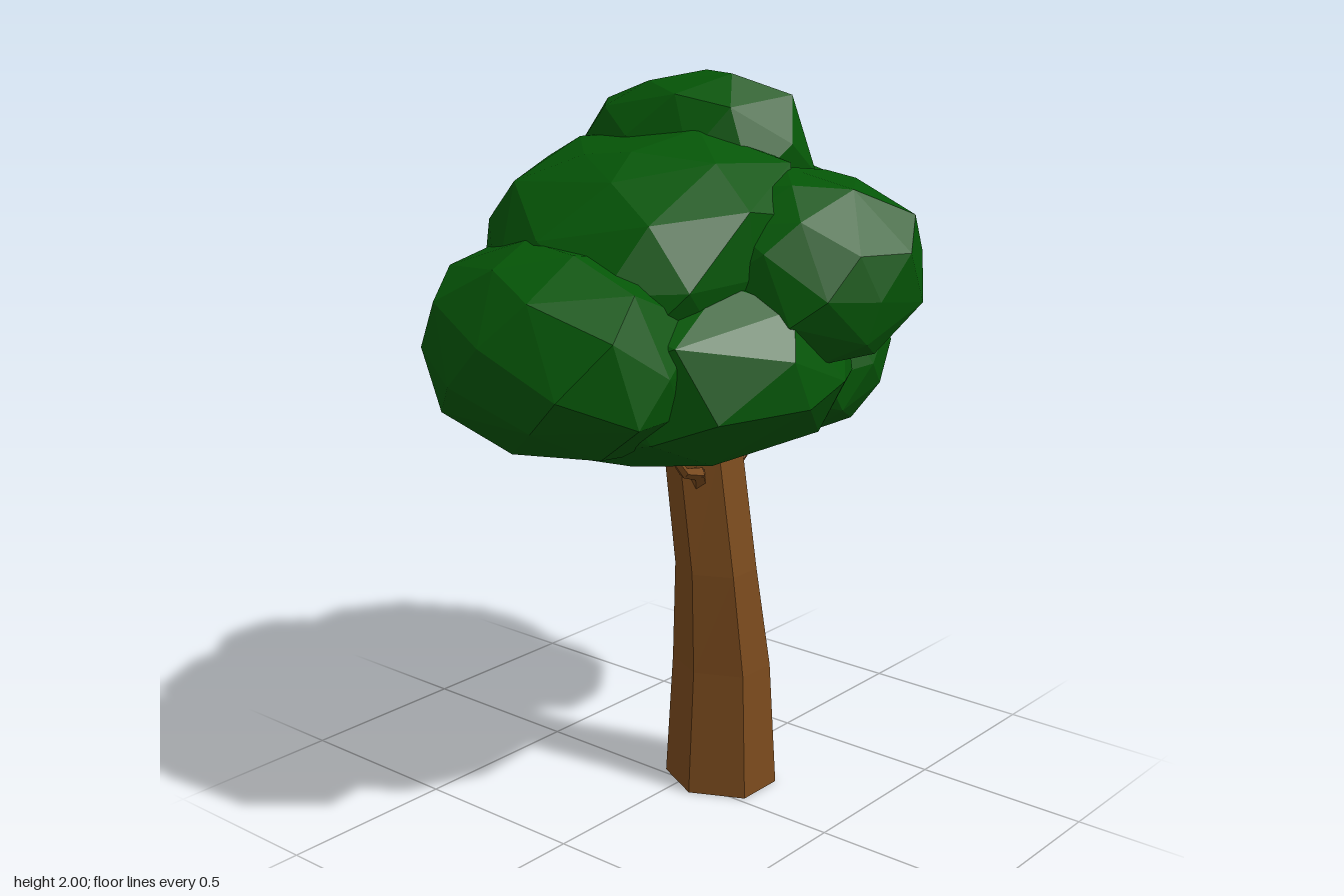
import * as THREE from 'three';
import { ConvexGeometry } from 'three/addons/geometries/ConvexGeometry.js';

const leafGreen = new THREE.MeshStandardMaterial({ color: 0x055607, flatShading: true });
leafGreen.name = 'leafGreen';
const barkBrown = new THREE.MeshStandardMaterial({ color: 0x7a4a1d, flatShading: true });
barkBrown.name = 'barkBrown';

// Small seeded random generator
function seeded(seed) {
  let s = seed * 7919 + 17;
  return () => (s = (s * 16807) % 2147483647) / 2147483647;
}

// Faceted, slightly boxy leaf clump filling the box from min to max.
// lean = [rise of y along x, rise of y along z, shift of z along x]
function leafClump(name, min, max, lean, seed) {
  const random = seeded(seed), count = 44, points = [];
  for (let i = 0; i < count; i++) {
    const y = 1 - (2 * i + 1) / count;
    const r = Math.sqrt(1 - y * y), a = i * 2.39996 + seed;
    const jitter = () => (random() - 0.5) * 0.25;
    const p = new THREE.Vector3(r * Math.cos(a) + jitter(), y + jitter(), r * Math.sin(a) + jitter());
    const e = 2.45;
    const norm = (Math.abs(p.x) ** e + Math.abs(p.y) ** e + Math.abs(p.z) ** e) ** (1 / e);
    p.multiplyScalar((0.96 + random() * 0.06) / norm);
    p.y += lean[0] * p.x + lean[1] * p.z;
    p.z += lean[2] * p.x;
    points.push(p);
  }
  // Fit the clump exactly into its box
  const bounds = new THREE.Box3().setFromPoints(points);
  const size = bounds.getSize(new THREE.Vector3());
  const low = new THREE.Vector3(...min);
  const span = new THREE.Vector3(...max).sub(low);
  points.forEach((p) => p.sub(bounds.min).divide(size).multiply(span).add(low));
  const mesh = new THREE.Mesh(new ConvexGeometry(points), leafGreen);
  mesh.name = name;
  return mesh;
}

// Six-sided trunk through rings of [x, y, z, radiusX, radiusZ]
function makeTrunk(rings) {
  const geometry = new THREE.CylinderGeometry(1, 1, 1, 6, rings.length - 1);
  const pos = geometry.attributes.position;
  for (let i = 0; i < pos.count; i++) {
    const level = Math.round((pos.getY(i) + 0.5) * (rings.length - 1));
    const [x, y, z, rx, rz] = rings[level];
    // Turn the hexagon so that corners point along x
    const px = pos.getZ(i), pz = -pos.getX(i);
    pos.setXYZ(i, x + px * rx, y, z + (pz / 0.866) * rz);
  }
  geometry.computeVertexNormals();
  const mesh = new THREE.Mesh(geometry, barkBrown);
  mesh.name = 'trunk';
  return mesh;
}

// Tapering branch through points of [x, y, z, radius]
function makeBranch(name, points) {
  const group = new THREE.Group();
  group.name = name;
  for (let i = 0; i < points.length - 1; i++) {
    const a = new THREE.Vector3(...points[i].slice(0, 3));
    const b = new THREE.Vector3(...points[i + 1].slice(0, 3));
    const dir = b.clone().sub(a);
    const geometry = new THREE.CylinderGeometry(points[i + 1][3], points[i][3], dir.length() + 0.006, 5);
    const mesh = new THREE.Mesh(geometry, barkBrown);
    mesh.name = name + 'Segment';
    mesh.position.copy(a).add(b).multiplyScalar(0.5);
    mesh.quaternion.setFromUnitVectors(new THREE.Vector3(0, 1, 0), dir.normalize());
    group.add(mesh);
  }
  return group;
}

export function createModel() {
  const tree = new THREE.Group();
  tree.name = 'tree';

  tree.add(makeTrunk([
    [0.09, 0, 0.065, 0.143, 0.145],
    [0.09, 0.36, 0.065, 0.122, 0.127],
    [0.07, 0.65, 0.06, 0.103, 0.104],
    [0.07, 1.0, 0.01, 0.1, 0.1],
    [0.075, 1.16, -0.01, 0.095, 0.095],
  ]));

  // Thin branches under the crown
  tree.add(makeBranch('leftBranch', [
    [0.155, 0.86, 0.02, 0.026], [0.19, 0.915, 0.03, 0.022], [0.25, 0.935, 0.02, 0.014], [0.32, 1.0, 0.0, 0.011],
  ]));
  tree.add(makeBranch('leftTwig', [[0.18, 0.9, 0.025, 0.016], [0.19, 0.94, 0.0, 0.012], [0.19, 0.99, -0.02, 0.008]]));
  tree.add(makeBranch('rightBranch', [
    [0.01, 0.9, 0.05, 0.026], [-0.02, 0.94, 0.07, 0.02], [-0.09, 0.96, 0.08, 0.014], [-0.15, 1.02, 0.09, 0.01],
  ]));

  // Crown clumps: name, low corner, high corner, lean
  const clumps = [
    ['topClump', [-0.1, 1.44, -0.45], [0.4, 2.0, 0.25], [-0.1, 0.22, 0]],
    ['upperRightClump', [-0.53, 1.32, -0.43], [0.2, 1.87, 0.4], [0.45, 0, 0]],
    ['frontClump', [-0.23, 1.31, 0.08], [0.29, 1.78, 0.66], [0.2, -0.15, 0.12]],
    ['lowerRightClump', [-0.76, 1.07, -0.48], [-0.08, 1.62, 0.38], [-0.05, 0, -0.25]],
    ['lowerFrontClump', [-0.57, 1.02, -0.5], [0.25, 1.54, 0.56], [0, 0.1, 0.1]],
    ['upperLeftClump', [0.06, 1.28, -0.28], [0.66, 1.77, 0.39], [-0.35, 0, -0.1]],
    ['lowerLeftClump', [0.15, 0.98, -0.24], [0.69, 1.43, 0.35], [0.18, 0.1, -0.1]],
    ['backLeftClump', [0.2, 1.07, -0.63], [0.76, 1.61, 0.05], [-0.18, 0.1, 0.3]],
    ['backClump', [-0.27, 1.03, -0.66], [0.36, 1.51, 0.0], [0, 0.1, 0]],
  ];
  const crown = new THREE.Group();
  crown.name = 'crown';
  clumps.forEach(([name, min, max, lean], i) => crown.add(leafClump(name, min, max, lean, i + 1)));
  tree.add(crown);
  return tree;
}
